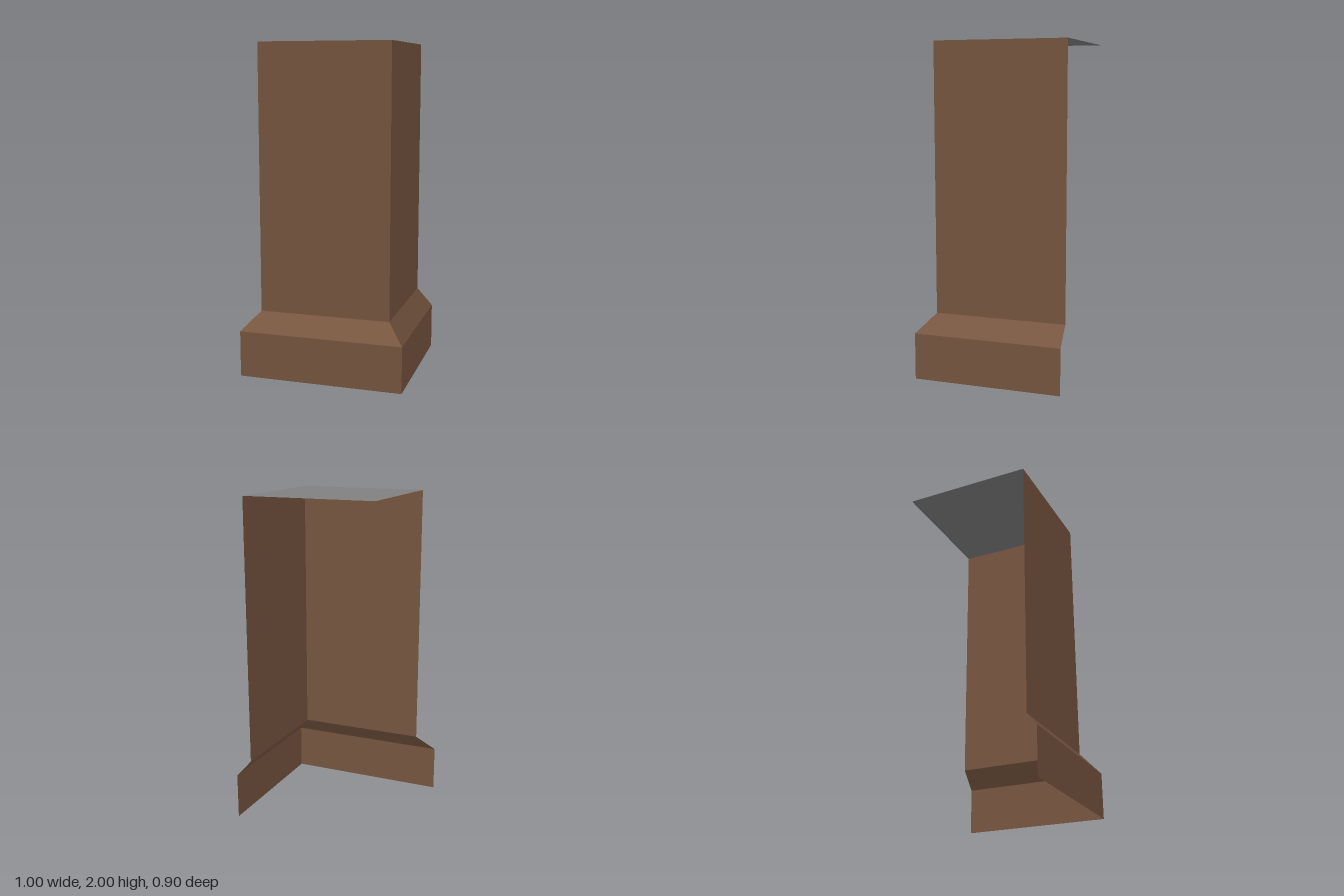
import * as THREE from 'three';

const BACK = -0.45;

// Open corner outline: front-left, front-right, back-right
const outline = (halfWidth, front, y) => [
  [-halfWidth, y, front],
  [halfWidth, y, front],
  [halfWidth, y, BACK],
];

// Flat-shaded quads joining two outlines
function band(lower, upper) {
  const pos = [];
  for (let i = 0; i < lower.length - 1; i++) {
    const [a, b, c, d] = [lower[i], lower[i + 1], upper[i + 1], upper[i]];
    pos.push(...a, ...b, ...c, ...a, ...c, ...d);
  }
  const geo = new THREE.BufferGeometry();
  geo.setAttribute('position', new THREE.Float32BufferAttribute(pos, 3));
  geo.computeVertexNormals();
  return geo;
}

export function createModel() {
  const brown = new THREE.MeshStandardMaterial({ color: 0x7d5a43, side: THREE.DoubleSide });
  brown.name = 'brown';
  const grey = new THREE.MeshStandardMaterial({ color: 0x808080, side: THREE.DoubleSide });
  grey.name = 'grey';

  const group = new THREE.Group();
  group.name = 'cornerPillar';
  const add = (name, geo, mat) => {
    const mesh = new THREE.Mesh(geo, mat);
    mesh.name = name;
    group.add(mesh);
    return mesh;
  };

  // Two-sided walls: plinth, sloped ledge and shaft, open at the left and back
  const levels = [
    outline(0.5, 0.45, 0),
    outline(0.5, 0.45, 0.28),
    outline(0.4, 0.35, 0.39),
    outline(0.4, 0.35, 2),
  ];
  ['plinth', 'slopedLedge', 'shaft'].forEach((name, i) =>
    add(name, band(levels[i], levels[i + 1]), brown));

  // Flat cap
  const cap = add('topCap', new THREE.PlaneGeometry(0.8, 0.8).rotateX(-Math.PI / 2), grey);
  cap.position.set(0, 2, -0.05);

  return group;
}
